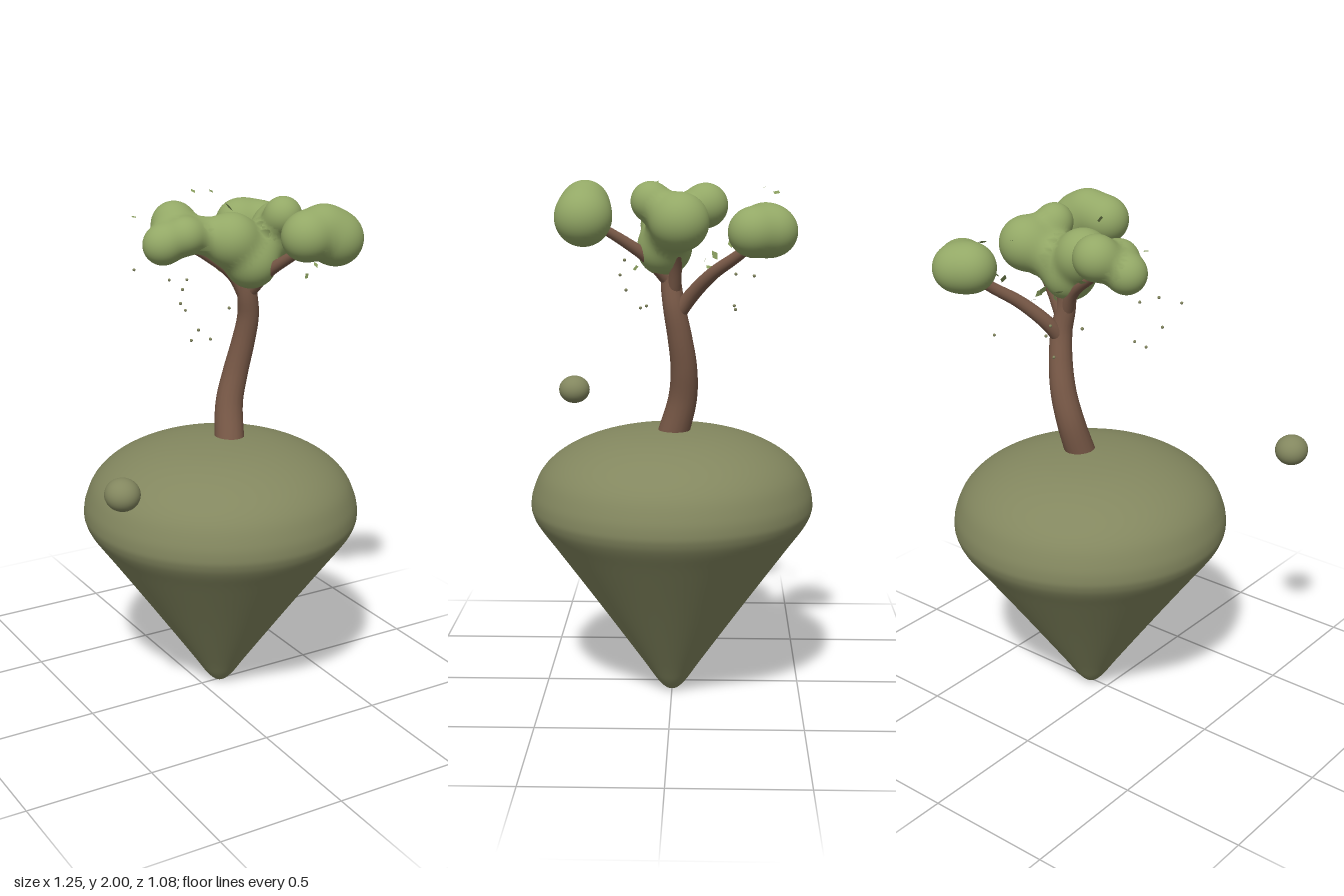
import * as THREE from 'three';

const material = (name, color, side = THREE.FrontSide) => {
  const m = new THREE.MeshStandardMaterial({ color, side });
  m.name = name;
  return m;
};

export function createModel() {
  const group = new THREE.Group();
  const earth = material('olive earth', 0x83875f);
  const bark = material('brown bark', 0x7a5a48);
  const foliage = material('leaf green', 0x93a866);
  const leafMat = material('loose leaf green', 0x869a5c, THREE.DoubleSide);

  const add = (name, geometry, mat, parent = group) => {
    const mesh = new THREE.Mesh(geometry, mat);
    mesh.name = name;
    parent.add(mesh);
    return mesh;
  };
  const vec = (p) => new THREE.Vector3(...p);

  // Floating island: rounded cone below, soft dome above
  const profile = new THREE.SplineCurve([
    [0, 0], [0.025, 0.008], [0.06, 0.045], [0.12, 0.133], [0.3, 0.39], [0.45, 0.6],
    [0.515, 0.69], [0.537, 0.735], [0.541, 0.77], [0.532, 0.82], [0.5, 0.89],
    [0.44, 0.95], [0.35, 1.0], [0.24, 1.035], [0.12, 1.053], [0, 1.06],
  ].map(([r, y]) => new THREE.Vector2(r, y))).getPoints(70);
  profile.forEach((p) => { p.x = Math.max(0, p.x); p.y = Math.max(0, p.y); });
  add('island', new THREE.LatheGeometry(profile, 72), earth).position.x = 0.085;

  // Small floating stone
  const stone = add('floatingStone', new THREE.SphereGeometry(0.063, 32, 20), earth);
  stone.position.set(-0.565, 1.09, 0.435);
  stone.scale.set(1, 0.93, 1.04);

  // Tapered limbs: tubes whose rings shrink along the path
  const limb = (name, points, r0, r1) => {
    const curve = new THREE.CatmullRomCurve3(points.map(vec));
    const steps = 32, sides = 16;
    const geo = new THREE.TubeGeometry(curve, steps, 1, sides);
    const pos = geo.attributes.position;
    const v = new THREE.Vector3();
    for (let i = 0; i <= steps; i++) {
      const c = curve.getPointAt(i / steps);
      const r = THREE.MathUtils.lerp(r0, r1, i / steps);
      for (let j = 0; j <= sides; j++) {
        const k = i * (sides + 1) + j;
        v.fromBufferAttribute(pos, k).sub(c).multiplyScalar(r).add(c);
        pos.setXYZ(k, v.x, v.y, v.z);
      }
    }
    add(name, geo, bark);
  };
  limb('trunk', [[0.125, 1.02, 0], [0.148, 1.18, -0.042], [0.178, 1.3, -0.047],
    [0.202, 1.42, -0.032], [0.212, 1.53, -0.012], [0.2, 1.62, 0], [0.19, 1.75, 0]], 0.06, 0.034);
  limb('backBranch', [[0.21, 1.5, -0.02], [0.235, 1.57, -0.07], [0.3, 1.66, -0.15],
    [0.36, 1.73, -0.24], [0.4, 1.8, -0.32]], 0.03, 0.018);
  limb('frontBranch', [[0.2, 1.62, 0], [0.235, 1.71, 0.08], [0.265, 1.77, 0.16],
    [0.3, 1.84, 0.27]], 0.028, 0.016);
  limb('rightBranch', [[0.205, 1.58, 0], [0.15, 1.69, -0.02], [0.05, 1.77, -0.04],
    [-0.07, 1.84, -0.06]], 0.028, 0.015);
  limb('leftBranch', [[0.21, 1.58, -0.01], [0.26, 1.7, -0.02], [0.35, 1.83, -0.03]], 0.026, 0.015);

  // Foliage: overlapping balls melted together by a smooth union
  const crown = (name, balls) => {
    const parent = new THREE.Group();
    parent.name = name;
    group.add(parent);
    const blend = 0.018;
    const field = (p) => {
      let sum = 0;
      for (const [x, y, z, r] of balls) {
        sum += Math.exp(-(Math.hypot(p.x - x, p.y - y, p.z - z) - r + 0.005) / blend);
      }
      return -blend * Math.log(sum);
    };
    const dir = new THREE.Vector3(), p = new THREE.Vector3(), n = new THREE.Vector3();
    for (const [x, y, z, r] of balls) {
      const center = new THREE.Vector3(x, y, z);
      const geo = new THREE.SphereGeometry(1, 40, 28);
      const { position, normal } = geo.attributes;
      for (let i = 0; i < position.count; i++) {
        // Walk outward from the ball's centre to the shared skin
        dir.fromBufferAttribute(position, i).normalize();
        let t = r * 0.8;
        for (let s = 0; s < 24 && t < r * 1.6; s++) {
          t -= field(p.copy(center).addScaledVector(dir, t));
        }
        p.copy(center).addScaledVector(dir, Math.min(t, r * 1.6));
        position.setXYZ(i, p.x, p.y, p.z);
        // Smooth normal from the gradient of the field
        const e = 0.002, f = field(p);
        ['x', 'y', 'z'].forEach((axis) => {
          p[axis] += e;
          n[axis] = field(p) - f;
          p[axis] -= e;
        });
        n.normalize();
        normal.setXYZ(i, n.x, n.y, n.z);
      }
      add('leafBall', geo, foliage, parent);
    }
  };
  crown('backCrown', [
    [0.36, 1.825, -0.335, 0.095], [0.45, 1.82, -0.29, 0.09], [0.415, 1.82, -0.365, 0.088],
  ]);
  crown('frontCrown', [
    [0.255, 1.885, 0.31, 0.096], [0.39, 1.865, 0.305, 0.106], [0.335, 1.915, 0.3, 0.082],
  ]);
  crown('middleCrown', [
    [-0.05, 1.89, -0.125, 0.09], [-0.135, 1.83, -0.055, 0.08], [-0.065, 1.865, -0.005, 0.073],
    [0.015, 1.855, -0.03, 0.068], [0.12, 1.835, 0.01, 0.108], [0.2, 1.745, 0.025, 0.104],
    [0.265, 1.81, 0, 0.085], [0.36, 1.85, -0.035, 0.11], [0.31, 1.92, 0.07, 0.076],
  ]);

  // Loose leaves: flat diamonds drifting around the crown
  const diamond = new THREE.ShapeGeometry(new THREE.Shape([
    [0, -0.022], [0.013, 0], [0, 0.022], [-0.013, 0],
  ].map(([x, y]) => new THREE.Vector2(x, y))));
  [
    [-0.24, 1.94, -0.08], [0.0, 1.79, -0.275], [0.12, 1.76, -0.22], [0.145, 1.7, -0.125],
    [0.235, 1.68, -0.14], [0.28, 1.78, -0.255], [0.53, 1.69, -0.025], [0.39, 1.69, 0.12],
    [0.08, 1.97, 0.06], [0.155, 1.965, -0.34], [-0.07, 1.83, -0.23], [0.19, 1.72, -0.16],
    [0.26, 1.77, 0.13], [0.26, 1.95, -0.38],
  ].forEach((p, i) => {
    const leaf = add('looseLeaf', diamond, leafMat);
    leaf.position.set(...p);
    leaf.rotation.set(-1.5 + (i % 4) * 0.35, (i % 3) * 0.45, i * 2.1);
    leaf.scale.setScalar(0.7 + (i % 3) * 0.15);
  });

  // Tiny drifting specks below the crown
  const speck = new THREE.SphereGeometry(0.006, 8, 6);
  [
    [-0.105, 1.5, 0.105], [-0.035, 1.5, 0.125], [-0.12, 1.56, 0.185], [0.0, 1.63, 0.2],
    [-0.2, 1.67, 0.195], [0.355, 1.54, -0.235], [0.06, 1.52, -0.235], [0.03, 1.63, -0.31],
    [-0.13, 1.69, -0.3], [0.07, 1.64, -0.24], [-0.15, 1.7, 0.12],
  ].forEach((p) => add('speck', speck, earth).position.set(...p));

  return group;
}
